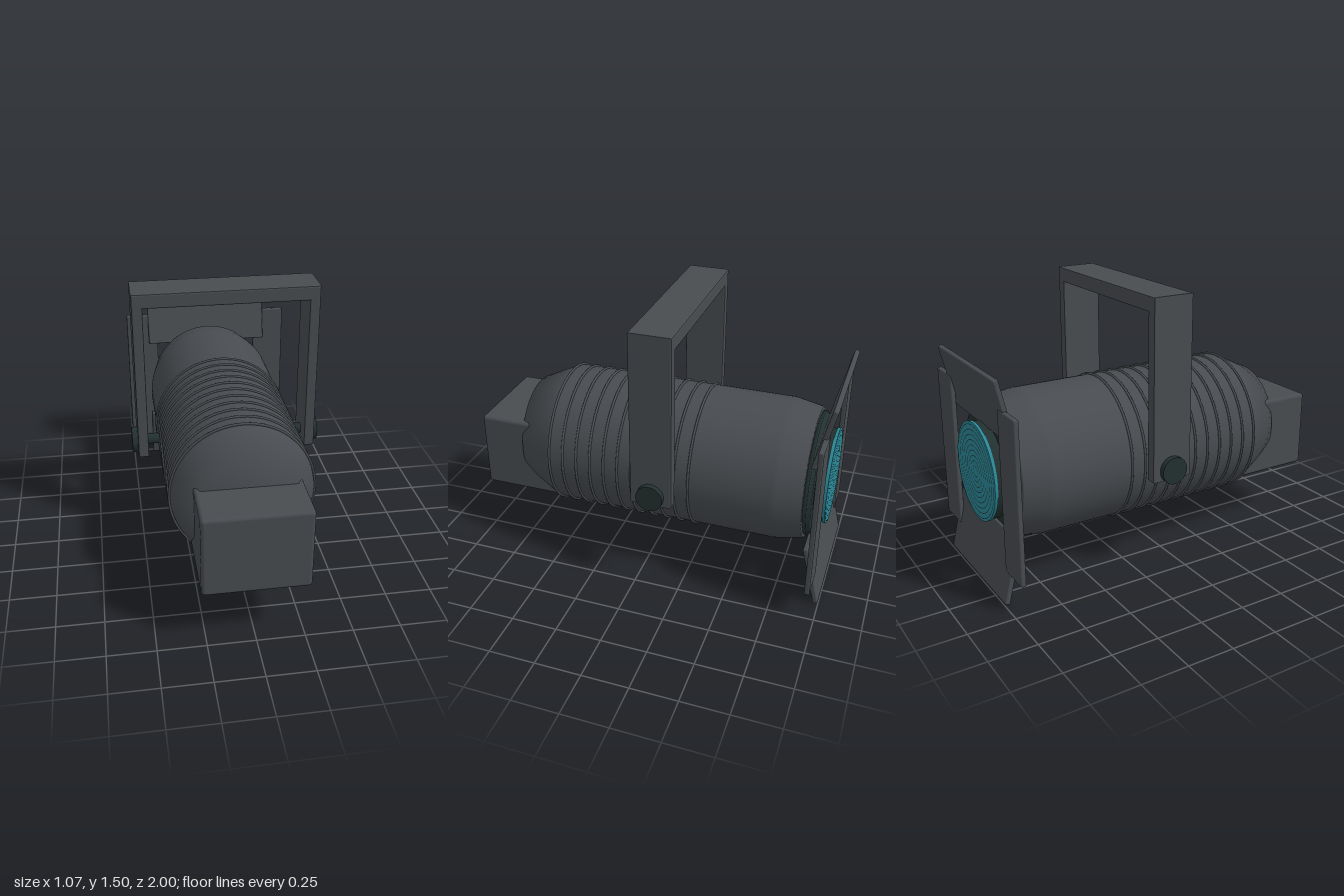
import * as THREE from 'three';
import { RoundedBoxGeometry } from 'three/addons/geometries/RoundedBoxGeometry.js';

const AXIS_Y = 0.592;  // height of the barrel axis
const SQUASH = 0.957;  // barrel is slightly narrower than tall

export function createModel() {
  const model = new THREE.Group();
  model.name = 'stageSpotlight';

  const mat = (name, color) => {
    const m = new THREE.MeshStandardMaterial({ color });
    m.name = name;
    return m;
  };
  const housing = mat('charcoal housing', 0x484c50);
  const dark = mat('dark green fittings', 0x22302f);
  const glass = mat('teal glass', 0x2a8796);

  const add = (name, geometry, material, x = 0, y = 0, z = 0, parent = model) => {
    const mesh = new THREE.Mesh(geometry, material);
    mesh.name = name;
    mesh.position.set(x, y, z);
    parent.add(mesh);
    return mesh;
  };
  const box = (w, h, d, r) => new RoundedBoxGeometry(w, h, d, 3, r);
  // Profile of [radius, z] pairs, running from back to front
  const turned = (profile) => new THREE.LatheGeometry(
    profile.map(([r, z]) => new THREE.Vector2(r, z)), 64).rotateX(Math.PI / 2);

  // Barrel, with everything turned about its axis
  const barrel = new THREE.Group();
  barrel.name = 'barrel';
  barrel.position.y = AXIS_Y;
  barrel.scale.x = SQUASH;
  model.add(barrel);

  add('barrelShell', turned([
    [0, -0.865], [0.362, -0.865], [0.366, -0.86], [0.393, -0.725], [0.396, -0.70],
    [0.396, 0.53], [0.389, 0.56], [0.30, 0.75], [0, 0.75],
  ]), housing, 0, 0, 0, barrel);

  // Cooling ribs
  for (let i = 0; i < 11; i++) {
    add('coolingRib', new THREE.TorusGeometry(0.399, 0.007, 8, 64), housing,
      0, 0, 0.54 - i * 0.08, barrel);
  }

  // Stepped lens holder
  add('lensHolder', turned([
    [0, -0.905], [0.325, -0.905], [0.335, -0.90], [0.335, -0.885],
    [0.347, -0.885], [0.347, -0.86], [0, -0.86],
  ]), dark, 0, 0, 0, barrel);
  add('lensTube', new THREE.CylinderGeometry(0.26, 0.26, 0.06, 64).rotateX(Math.PI / 2),
    dark, 0, 0, -0.93, barrel);

  // Lens with fine concentric grooves
  add('lens', new THREE.CylinderGeometry(0.265, 0.265, 0.016, 64).rotateX(Math.PI / 2),
    glass, 0, 0, -0.963, barrel);
  for (let i = 1; i <= 9; i++) {
    const r = i * 0.0275;
    add('lensGroove', new THREE.RingGeometry(r, r + 0.004, 48).rotateY(Math.PI),
      dark, 0, 0, -0.9725, barrel);
  }

  // Lamp housing
  add('lampHousing', box(0.55, 0.44, 0.5, 0.02), housing, 0, 0.53, 0.75);

  // U-shaped yoke
  const b = 0.008;
  const outer = 0.505 - b, inner = 0.447 + b;
  const yoke = new THREE.Shape([
    [-outer, 0.535 + b], [-inner, 0.535 + b], [-inner, 1.42 + b], [inner, 1.42 + b],
    [inner, 0.535 + b], [outer, 0.535 + b], [outer, 1.5 - b], [-outer, 1.5 - b],
  ].map(([x, y]) => new THREE.Vector2(x, y)));
  add('yoke', new THREE.ExtrudeGeometry(yoke, {
    depth: 0.228 - 2 * b, bevelThickness: b, bevelSize: b, bevelSegments: 2,
  }), housing, 0, 0, -0.212 + b);

  for (const side of [-1, 1]) {
    // Tilt knob and its pivot
    add('tiltKnob', new THREE.CylinderGeometry(0.073, 0.073, 0.077, 32).rotateZ(Math.PI / 2),
      dark, side * 0.497, AXIS_Y, -0.098);
    add('tiltPivot', new THREE.CylinderGeometry(0.03, 0.03, 0.12, 20).rotateZ(Math.PI / 2),
      dark, side * 0.42, AXIS_Y, -0.098);

    // Flat side door
    add('sideDoor', box(0.192, 0.86, 0.028, 0.008), housing, side * 0.409, AXIS_Y, -0.951);

    // Flared top or bottom door
    const door = add('flaredDoor', box(0.742, 0.35, 0.028, 0.008), housing,
      0, AXIS_Y + side * 0.418, -0.945);
    door.rotation.x = -side * 0.235;
  }

  return model;
}
